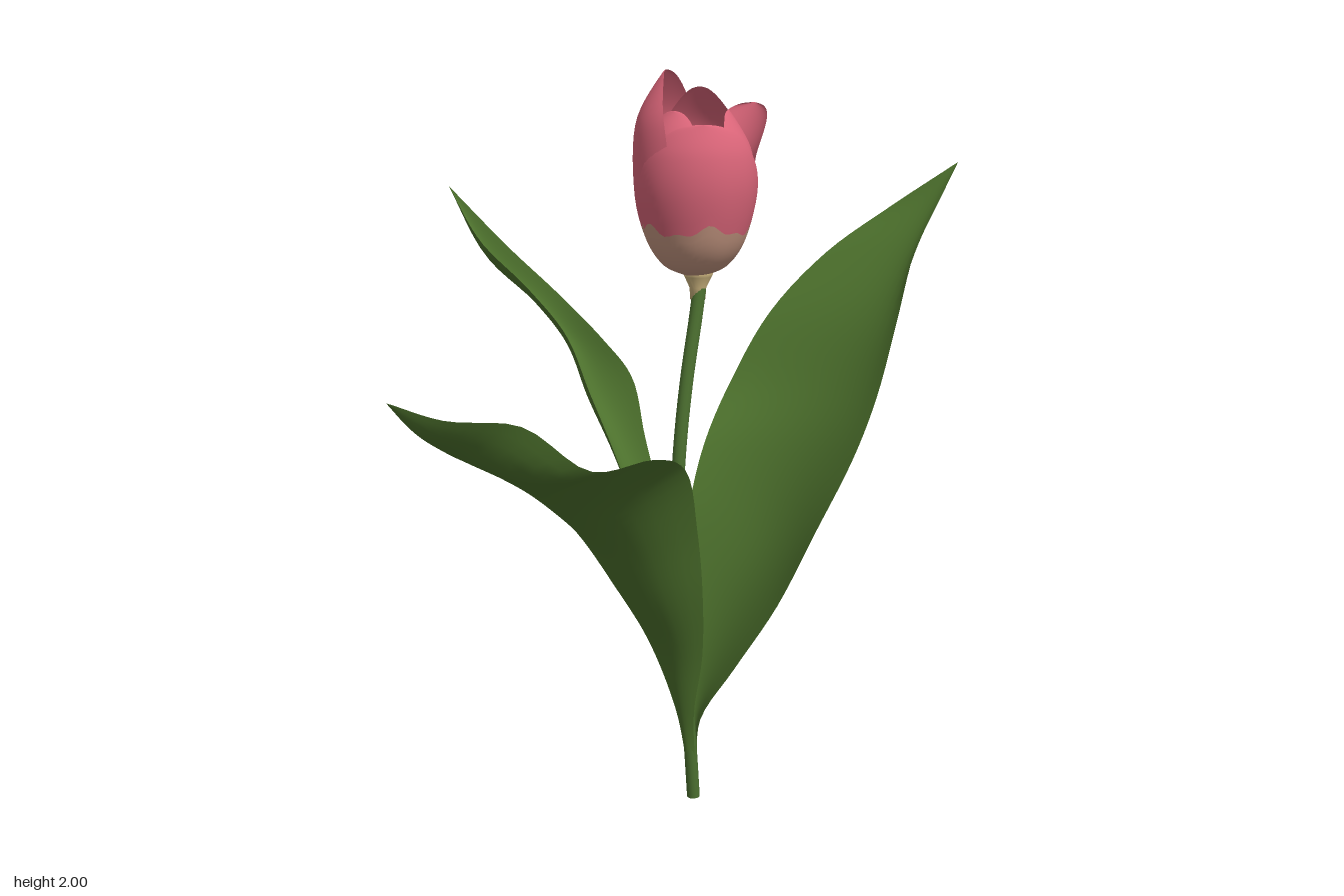
import * as THREE from 'three';

const V = (x, y, z) => new THREE.Vector3(x, y, z);
const material = (name, color) => {
  const m = new THREE.MeshStandardMaterial({ color, side: THREE.DoubleSide });
  m.name = name;
  return m;
};

// Smooth sheet from a function of u (across) and v (along), both 0..1
function sheet(f, nu, nv) {
  const pos = [], index = [];
  for (let j = 0; j <= nv; j++) {
    for (let i = 0; i <= nu; i++) pos.push(...f(i / nu, j / nv).toArray());
  }
  for (let j = 0; j < nv; j++) {
    for (let i = 0; i < nu; i++) {
      const a = j * (nu + 1) + i, b = a + 1, c = a + nu + 1, d = c + 1;
      index.push(a, b, c, b, d, c);
    }
  }
  const g = new THREE.BufferGeometry();
  g.setAttribute('position', new THREE.Float32BufferAttribute(pos, 3));
  g.setIndex(index);
  g.computeVertexNormals();
  return g;
}

// Leaf blade: each row is edge, midrib, edge; the last row is the tip
function leafGeometry(rows, tip) {
  const curves = [0, 3, 6].map(k => new THREE.CatmullRomCurve3(
    [...rows.map(r => V(r[k], r[k + 1], r[k + 2])), V(...tip)]));
  return sheet((u, v) => {
    const [a, m, b] = curves.map(c => c.getPoint(v));
    return a.multiplyScalar((1 - u) * (1 - 2 * u))
      .addScaledVector(m, 4 * u * (1 - u))
      .addScaledVector(b, u * (2 * u - 1));
  }, 12, 50);
}

const leaves = {
  leftLeaf: [[
    [.160, .1, .146, .176, .1, .132, .160, .1, .118],
    [.145, .25, .175, .172, .25, .14, .14, .25, .112],
    [.16, .42, .28, .195, .42, .18, .15, .42, .08],
    [.19, .62, .40, .245, .62, .23, .18, .62, .07],
    [.235, .82, .48, .315, .82, .27, .215, .84, .07],
    [.33, 1.02, .53, .385, 1.02, .30, .275, 1.0, .07],
    [.41, 1.17, .54, .455, 1.17, .33, .38, 1.16, .075],
    [.50, 1.35, .53, .54, 1.35, .37, .48, 1.34, .125],
    [.61, 1.53, .505, .65, 1.52, .42, .60, 1.5, .22],
    [.72, 1.66, .50, .745, 1.65, .46, .71, 1.62, .34],
  ], [.805, 1.75, .5]],
  rightLeaf: [[
    [.160, .1, .146, .145, .1, .132, .160, .1, .118],
    [.13, .27, .165, .115, .27, .13, .125, .27, .102],
    [.11, .45, .21, .06, .45, .13, .09, .45, .04],
    [.05, .66, .26, -.06, .64, .13, .01, .64, -.03],
    [-.02, .85, .30, -.17, .80, .13, -.09, .83, -.1],
    [-.13, 1.04, .355, -.28, .91, .13, -.21, .95, -.115],
    [-.28, 1.10, .385, -.40, .99, .13, -.34, 1.03, -.085],
    [-.41, 1.08, .305, -.52, 1.05, .12, -.48, 1.10, -.055],
    [-.57, 1.205, .23, -.64, 1.12, .10, -.64, 1.18, -.015],
    [-.74, 1.235, .15, -.75, 1.19, .08, -.75, 1.23, .015],
  ], [-.81, 1.27, .03]],
  backLeaf: [[
    [.147, .1, .138, .160, .1, .115, .175, .1, .138],
    [.10, .4, .13, .13, .4, .09, .155, .4, .12],
    [.055, .62, .10, .10, .62, .06, .14, .62, .10],
    [.02, .82, .06, .075, .82, .02, .13, .82, .05],
    [-.01, 1.0, 0, .06, 1.0, -.06, .13, 1.02, -.02],
    [-.025, 1.16, -.08, .05, 1.13, -.135, .13, 1.18, -.07],
    [-.02, 1.30, -.17, .035, 1.26, -.20, .09, 1.28, -.14],
    [-.055, 1.42, -.28, -.01, 1.37, -.28, .03, 1.40, -.25],
    [-.105, 1.54, -.41, -.07, 1.49, -.41, -.03, 1.52, -.38],
  ], [-.1, 1.68, -.54]],
};

// Petals: azimuth and half width in degrees, size, shoulder and tip [radius, y], tip roundness
const petals = [
  { az: 132, w: 90, s: 1.04, shoulder: [.166, 1.79], tip: [.14, 1.87], p: 2.3 },
  { az: 0, w: 58, s: 1.02, shoulder: [.165, 1.78], tip: [.235, 1.91], p: 2.3 },
  { az: 245, w: 85, s: 1, shoulder: [.156, 1.87], tip: [.085, 2.0], p: 6 },
  { az: 62, w: 58, s: .93, shoulder: [.142, 1.8], tip: [.085, 1.9], p: 5 },
  { az: 180, w: 55, s: .92, shoulder: [.142, 1.82], tip: [.09, 1.9], p: 5 },
  { az: 325, w: 60, s: .93, shoulder: [.143, 1.84], tip: [.075, 1.955], p: 5 },
];
const CX = .166, CZ = .122;

function petalSurface({ az, w, s, shoulder, tip, p }) {
  const profile = new THREE.SplineCurve([
    [.03, 1.475], [.085 * s, 1.502], [.13 * s, 1.57], [.16 * s, 1.69], shoulder, tip,
  ].map(q => new THREE.Vector2(...q)));
  const rad = Math.PI / 180;
  return (u, v) => {
    const q = profile.getPoint(v), t = 2 * u - 1;
    const a = (az + t * w * Math.sqrt(Math.max(0, 1 - v ** p))) * rad;
    const r = q.x * (1 - .04 * t * t); // edges tuck inward
    return V(CX + r * Math.cos(a), q.y, CZ + r * Math.sin(a));
  };
}

export function createModel() {
  const root = new THREE.Group();
  root.name = 'flower';
  const leafGreen = material('leafGreen', 0x4f742e);
  const stemGreen = material('stemGreen', 0x4c7030);
  const petalPink = material('petalPink', 0xdc667a);
  const petalBase = material('petalBase', 0xc99a84);
  const receptacleTan = material('receptacleTan', 0xd2b982);
  const stamenDark = material('stamenDark', 0x2c2e1a);

  const add = (name, geometry, mat, parent = root) => {
    const mesh = new THREE.Mesh(geometry, mat);
    mesh.name = name;
    parent.add(mesh);
    return mesh;
  };

  // Stem with a closed foot
  const stemPath = new THREE.CatmullRomCurve3([
    [.17, .005], [.15, .2], [.125, .4], [.097, .65], [.088, .82],
    [.1, 1.02], [.125, 1.2], [.158, 1.36], [.173, 1.44],
  ].map(([x, y]) => V(x, y, .132)));
  add('stem', new THREE.TubeGeometry(stemPath, 60, .018, 14), stemGreen);
  const foot = add('stemFoot', new THREE.SphereGeometry(.018, 14, 8), stemGreen);
  foot.scale.y = .3;
  foot.position.set(.17, .0055, .132);

  // Leaves
  for (const [name, [rows, tip]] of Object.entries(leaves)) {
    add(name, leafGeometry(rows, tip), leafGreen);
  }

  // Receptacle under the bloom
  const cup = [[0, 1.41], [.02, 1.41], [.022, 1.44], [.036, 1.47], [.045, 1.49], [0, 1.495]];
  const receptacle = add('receptacle',
    new THREE.LatheGeometry(cup.map(q => new THREE.Vector2(...q)), 20), receptacleTan);
  receptacle.position.set(.172, 0, .127);

  // Petals, each split into a pale base and a pink blade along a wavy line
  petals.forEach((spec, i) => {
    const f = petalSurface(spec);
    const split = u => .455 + .02 * Math.cos(u * 14 + i) + .012 * Math.sin(u * 31);
    const petal = new THREE.Group();
    petal.name = 'petal' + (i + 1);
    add('petalBase', sheet((u, v) => f(u, v * split(u)), 28, 12), petalBase, petal);
    add('petalBlade', sheet((u, v) => {
      const e = 1 - (1 - v) ** 2; // finer rows near the rounded tip
      return f(u, split(u) + e * (1 - split(u)));
    }, 28, 24), petalPink, petal);
    root.add(petal);
  });

  // Pistil and ring of stamens
  const pistil = add('pistil', new THREE.CylinderGeometry(.008, .012, .14, 10), stamenDark);
  pistil.position.set(CX + .015, 1.56, CZ + .005);
  for (let i = 0; i < 6; i++) {
    const a = i * Math.PI / 3;
    const stamen = new THREE.Group();
    stamen.name = 'stamen' + (i + 1);
    add('filament', new THREE.CylinderGeometry(.004, .004, .1, 6), stamenDark, stamen).position.y = .05;
    const anther = add('anther', new THREE.SphereGeometry(.008, 8, 6), stamenDark, stamen);
    anther.scale.y = 2.6;
    anther.position.y = .115;
    stamen.position.set(CX + .015 + .012 * Math.cos(a), 1.5, CZ + .005 + .012 * Math.sin(a));
    stamen.rotation.set(.16 * Math.sin(a), 0, -.16 * Math.cos(a));
    root.add(stamen);
  }
  return root;
}
